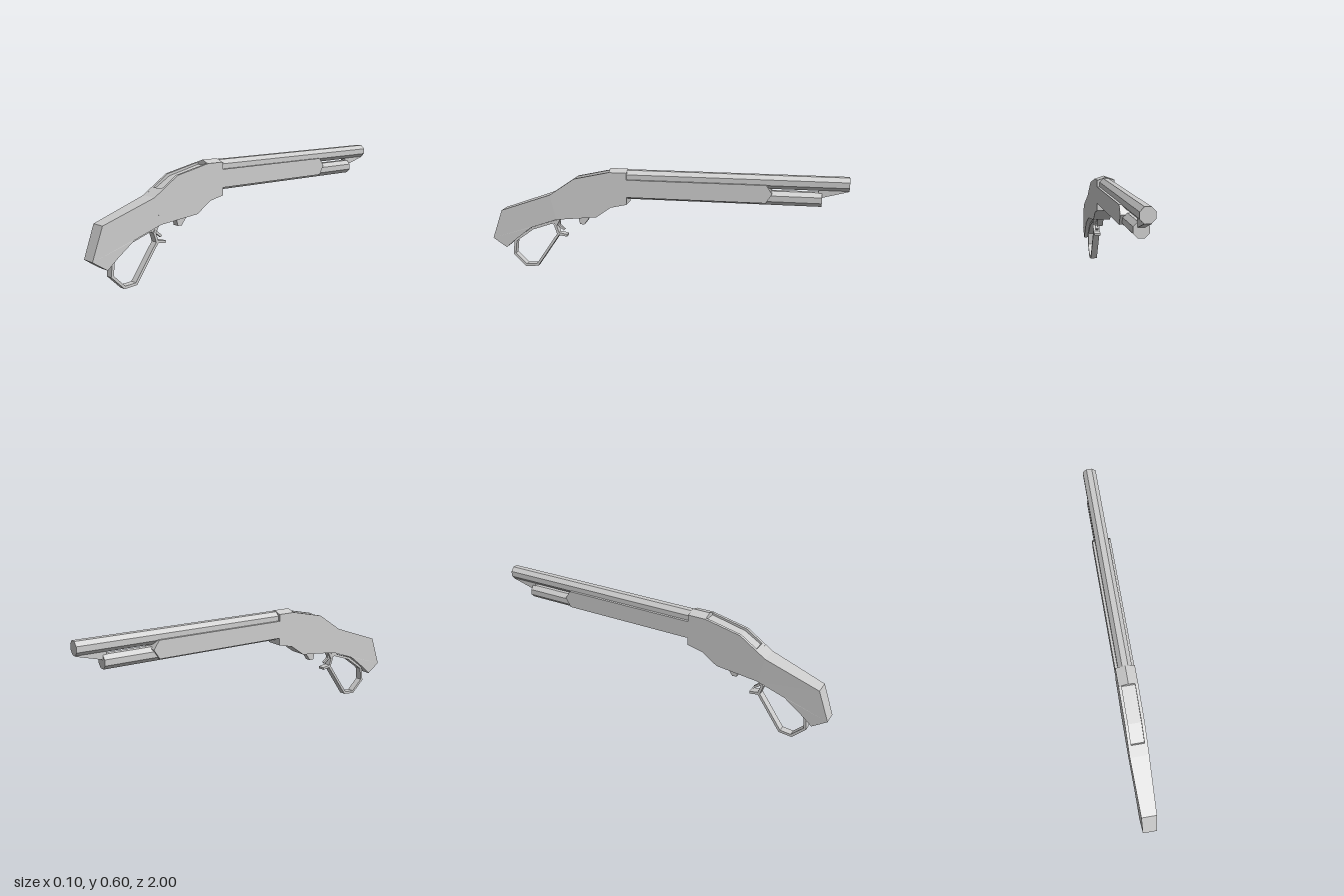
import * as THREE from 'three';

const material = new THREE.MeshStandardMaterial({ color: 0xcccccc, flatShading: true });

// Extrudes a side outline of [z, y] points to the given width, centred on x.
function slab(points, width, x = 0) {
  const shape = new THREE.Shape(points.map(([z, y]) => new THREE.Vector2(z, y)));
  const geometry = new THREE.ExtrudeGeometry(shape, { depth: width, bevelEnabled: false });
  return geometry.translate(0, 0, -width / 2).rotateY(-Math.PI / 2).translate(x, 0, 0);
}

// Thickens an open [z, y] path into a mitred band.
function band(path, thickness, width) {
  const p = path.map(([z, y]) => new THREE.Vector2(z, y));
  const near = [], far = [];
  p.forEach((v, i) => {
    const a = p[Math.max(i - 1, 0)], b = p[Math.min(i + 1, p.length - 1)];
    const d1 = (i ? v.clone().sub(a) : b.clone().sub(v)).normalize();
    const d2 = (i < p.length - 1 ? b.clone().sub(v) : d1.clone()).normalize();
    const n = new THREE.Vector2(-d1.y - d2.y, d1.x + d2.x).normalize();
    const s = thickness / 2 / Math.max(0.5, n.x * -d1.y + n.y * d1.x);
    near.push([v.x + n.x * s, v.y + n.y * s]);
    far.unshift([v.x - n.x * s, v.y - n.y * s]);
  });
  return slab([...near, ...far], width);
}

// Eight-sided tube with flats on top and sides.
function octagonTube(flatRadius, z0, z1, y) {
  const r = flatRadius / Math.cos(Math.PI / 8);
  return new THREE.CylinderGeometry(r, r, Math.abs(z1 - z0), 8)
    .rotateY(Math.PI / 8).rotateX(Math.PI / 2).translate(0, y, (z0 + z1) / 2);
}

export function createModel() {
  const model = new THREE.Group();
  const add = (name, geometry) => {
    const mesh = new THREE.Mesh(geometry, material);
    mesh.name = name;
    model.add(mesh);
  };

  // Receiver: two side walls and a centre with a shallow recess on top
  const underside = [[0.61, 0.305], [0.375, 0.33], [0.29, 0.39], [0.2, 0.41]];
  const wall = [[0.2, 0.589], [0.3, 0.589], [0.5, 0.545], [0.645, 0.447], ...underside];
  const centre = [[0.2, 0.589], [0.3, 0.589], [0.3, 0.578], [0.49, 0.533],
    [0.582, 0.477], [0.59, 0.484], [0.645, 0.447], ...underside];
  for (const side of [1, -1]) {
    add(side > 0 ? 'receiverWallLeft' : 'receiverWallRight', slab(wall, 0.016, side * 0.043));
  }
  add('receiverCentre', slab(centre, 0.07));

  // Ridged plate on top of the receiver
  const ridge = new THREE.Shape([[-0.051, 0.587], [0.051, 0.587], [0, 0.605]]
    .map(([x, y]) => new THREE.Vector2(x, y)));
  add('receiverTopPlate', new THREE.ExtrudeGeometry(ridge, { depth: 0.1, bevelEnabled: false })
    .translate(0, 0, 0.2));

  // Stock narrows towards the butt
  const stock = slab([[0.645, 0.447], [0.94, 0.343], [1, 0.175], [0.92, 0.122],
    [0.86, 0.175], [0.765, 0.25], [0.61, 0.305]], 0.102);
  const pos = stock.attributes.position;
  for (let i = 0; i < pos.count; i++) {
    const t = Math.max(0, (pos.getZ(i) - 0.64) / 0.36);
    pos.setX(i, pos.getX(i) * (1 - 0.24 * Math.min(t, 1)));
  }
  stock.computeVertexNormals();
  add('stock', stock);

  // Barrel, magazine tube and the grip around them
  add('barrel', octagonTube(0.037, 0.21, -1, 0.562));
  add('magazineTube', octagonTube(0.038, 0.21, -0.86, 0.475));
  add('foreGrip', slab([[0.2, 0.55], [-0.565, 0.55], [-0.597, 0.503], [-0.565, 0.452],
    [0.2, 0.452]], 0.102));
  add('barrelLug', slab([[-0.84, 0.53], [-1, 0.53], [-0.998, 0.524], [-0.86, 0.487],
    [-0.84, 0.487]], 0.035));

  // Lever: strap under the stock, open loop and front lip
  add('leverLoop', band([[0.62, 0.288], [0.765, 0.238], [0.872, 0.16], [0.882, 0.08],
    [0.812, 0.012], [0.745, 0.018], [0.61, 0.213], [0.56, 0.205]], 0.014, 0.04));
  add('leverLink', band([[0.612, 0.213], [0.627, 0.26], [0.605, 0.3]], 0.014, 0.04));
  add('leverPivot', slab([[0.67, 0.285], [0.64, 0.265], [0.61, 0.285], [0.6, 0.31],
    [0.67, 0.31]], 0.03));
  add('trigger', band([[0.605, 0.31], [0.61, 0.262], [0.578, 0.235]], 0.012, 0.016));
  add('lowerLug', slab([[0.49, 0.325], [0.48, 0.277], [0.455, 0.275], [0.415, 0.33]], 0.036));

  return model;
}
